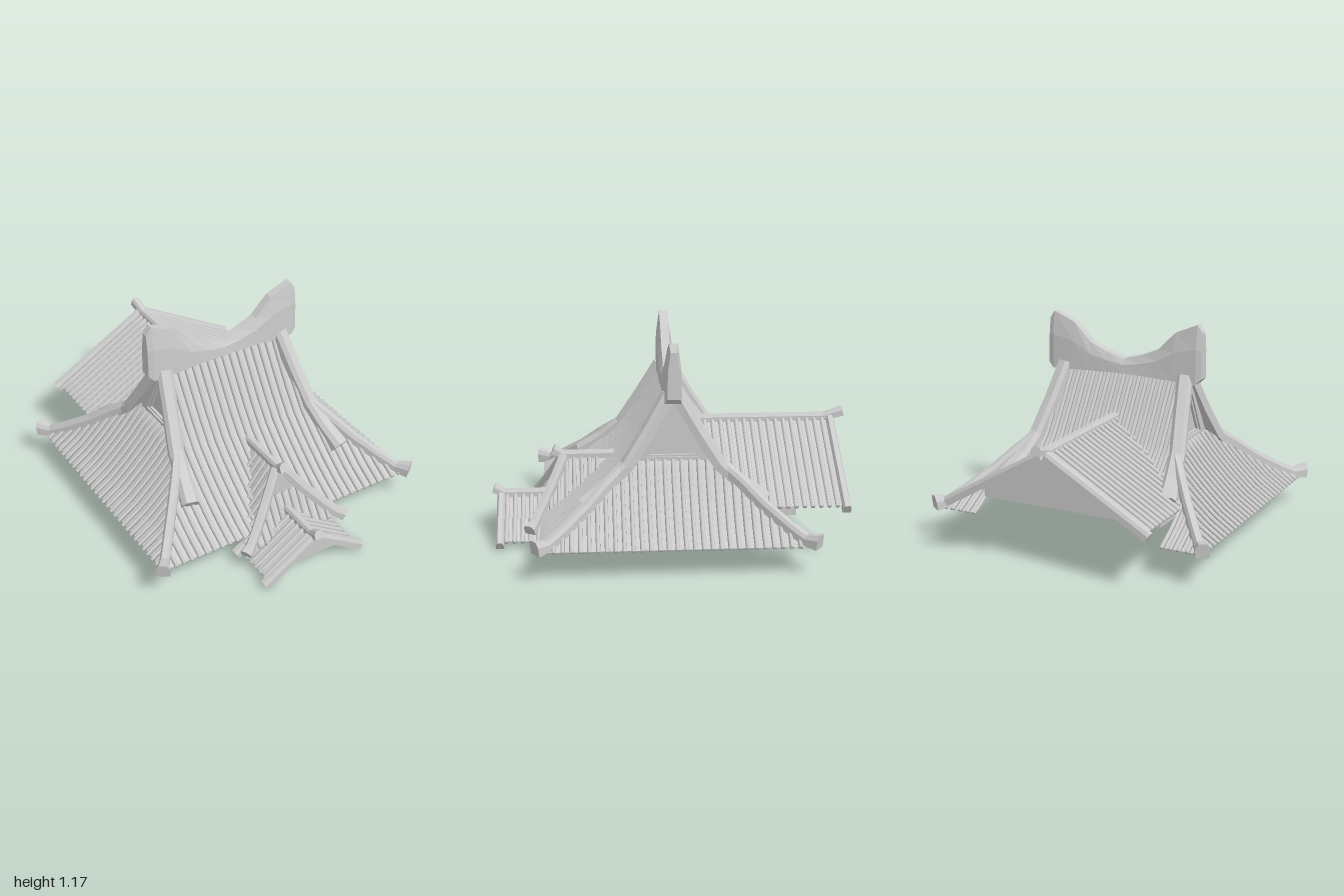
import * as THREE from 'three';
import { mergeGeometries } from 'three/addons/utils/BufferGeometryUtils.js';

const V = (x, y, z) => new THREE.Vector3(x, y, z);
const flat = new THREE.MeshStandardMaterial({ color: 0xcccccc, flatShading: true });
const smooth = new THREE.MeshStandardMaterial({ color: 0xcccccc, side: THREE.DoubleSide });
const SIDES = [-1, 1];

// Closed solid through rings of points (counter-clockwise about the path)
function loft(rings) {
  const n = rings[0].length, last = (rings.length - 1) * n, idx = [];
  for (let i = 0; i < rings.length - 1; i++)
    for (let j = 0; j < n; j++) {
      const a = i * n + j, b = i * n + (j + 1) % n;
      idx.push(a, b, b + n, a, b + n, a + n);
    }
  for (let j = 1; j < n - 1; j++) idx.push(0, j + 1, j, last, last + j, last + j + 1);
  const g = new THREE.BufferGeometry().setFromPoints(rings.flat());
  g.setIndex(idx);
  g.computeVertexNormals();
  return g;
}

// Sweep a section along points, keeping its base level sideways
function sweep(pts, section, w, h, endScale = 1) {
  return loft(pts.map((p, i) => {
    const t = pts[Math.min(i + 1, pts.length - 1)].clone().sub(pts[Math.max(i - 1, 0)]).normalize();
    const s = t.clone().cross(V(0, 1, 0)).normalize(), n = s.clone().cross(t);
    const k = i === pts.length - 1 ? endScale : 1;
    return section.map(([a, b]) => p.clone().addScaledVector(s, a * w * k).addScaledVector(n, b * h * k));
  }));
}
const BEAM = [[-.5, 0], [-.5, .65], [-.28, 1], [.28, 1], [.5, .65], [.5, 0]];
const ROUND = Array.from({ length: 8 }, (_, i) => [Math.cos(-i * Math.PI / 4), Math.sin(-i * Math.PI / 4)]);
const HALF_ROUND = [[-1, 0], [-.9, .8], [-.4, 1.5], [.4, 1.5], [.9, .8], [1, 0]];

function add(parent, name, geo, mat = flat) {
  const m = new THREE.Mesh(geo, mat);
  m.name = name;
  parent.add(m);
  return m;
}
const beam = (parent, name, pts, w, h, end) => add(parent, name, sweep(pts, BEAM, w, h, end));

// Thin surface from f(u, v)
function sheet(parent, name, f, nu = 4, nv = 20) {
  const g = new THREE.PlaneGeometry(1, 1, nu, nv), p = g.attributes.position;
  for (let i = 0; i < p.count; i++) p.setXYZ(i, ...f(p.getX(i) + .5, p.getY(i) + .5).toArray());
  g.computeVertexNormals();
  return add(parent, name, g, smooth);
}

// Tile row following f(t), t from a to b
function tile(f, a, b, section = HALF_ROUND, r = .0115) {
  const pts = [];
  for (let i = 0; i <= 8; i++) pts.push(f(a + (b - a) * i / 8));
  return sweep(pts, section, r, r);
}
const addTiles = (parent, name, list) => add(parent, name, mergeGeometries(list), smooth);

function lerpProfile(pts) {
  return d => {
    let i = 0;
    while (i < pts.length - 2 && d > pts[i + 1][0]) i++;
    const [a, ya] = pts[i], [b, yb] = pts[i + 1];
    return ya + (yb - ya) * (d - a) / (b - a);
  };
}
function poly(pts, holes = []) {
  const s = new THREE.Shape(pts.map(p => new THREE.Vector2(...p)));
  holes.forEach(h => s.holes.push(new THREE.Path(h.map(p => new THREE.Vector2(...p)))));
  return s;
}
const extrude = (shape, depth) => new THREE.ExtrudeGeometry(shape, { depth, bevelEnabled: false });

// ---- Main hip-and-gable roof ----
const mainY = lerpProfile([[0, .87], [.13, .665], [.24, .5], [.34, .405], [.45, .315], [.58, .22], [.7, .155]]);
const halfX = z => z < .25 ? .39 + .12 * z : .42 + (z - .25) * .8;
const toZ = x => .25 + (x - .42) / .8;
const endY = x => Math.min(.515, mainY(toZ(x)));

function mainRoof() {
  const g = new THREE.Group();
  g.name = 'mainRoof';
  const tiles = [], gap = .55;
  for (const s of SIDES) {
    // The rear slope stops short where the rear roof joins
    const zEnd = s > 0 ? .7 : .46;
    sheet(g, 'longSlope', (u, v) => {
      const z = v * zEnd;
      return V((2 * u - 1) * halfX(z), mainY(z), s * z);
    });
    sheet(g, 'rearCorner', (u, v) => {
      const z = toZ(gap) + v * (.7 - toZ(gap));
      return V(s * (gap + u * (halfX(z) - gap)), mainY(z), -z);
    });
    sheet(g, 'endSlope', (u, v) => {
      const x = .38 + v * .4;
      return V(s * x, endY(x), (2 * u - 1) * Math.max(.25, toZ(x)));
    });
    for (let i = -16; i <= 16; i++) {
      const x = i * .047, ax = Math.abs(x);
      tiles.push(tile(z => V(x, mainY(z), s * z), ax < .4 ? 0 : toZ(ax), ax < gap ? zEnd + .008 : .708));
    }
    for (let i = -15; i <= 15; i++) {
      const z = i * .0455;
      tiles.push(tile(x => V(s * x, endY(x), z), Math.max(.39, halfX(Math.abs(z)) - .01), .788));
    }
    // Gable wall with raised bargeboards
    const tri = (w, b, t) => [[-w, b], [w, b], [0, t]];
    const wall = add(g, 'gableWall', extrude(poly(tri(.22, .5, .85)), .02));
    const boards = add(g, 'bargeboards', extrude(poly(tri(.21, .515, .855), [tri(.145, .535, .815)]), .045));
    const trim = add(g, 'gableTrim', extrude(poly(tri(.145, .535, .815), [tri(.125, .545, .79)]), .015));
    for (const [m, x] of [[wall, .35], [boards, .35], [trim, .37]]) {
      m.rotation.y = s * Math.PI / 2;
      m.position.x = s * x;
    }
    // Descending ridges and hip ridges
    for (const q of SIDES) {
      beam(g, 'descendingRidge', [[.365, .86, 0], [.395, .665, .115], [.43, .485, .23], [.455, .385, .345], [.485, .295, .47]]
        .map(([x, y, z]) => V(s * x, y, q * z)), .085, .062, 1.15);
      beam(g, 'hipRidge', [[.42, .485, .24], [.5, .4, .35], [.58, .308, .45], [.685, .212, .58], [.75, .162, .66], [.8, .15, .73]]
        .map(([x, y, z]) => V(s * x, y, q * z)), .052, .055, 1.45);
    }
  }
  addTiles(g, 'mainTiles', tiles);
  add(g, 'ceiling', new THREE.BoxGeometry(1.04, .015, .83)).position.y = .325;
  // Upswept crest: x, bottom, top, half depth
  const half = [[0, .855, .935, .05], [.11, .853, .965, .048], [.21, .85, 1.01, .048], [.31, .845, 1.11, .048],
    [.44, .84, 1.165, .045], [.47, .87, 1.12, .034]];
  const all = [...half.slice(1).reverse().map(([x, ...r]) => [-x, ...r]), ...half];
  add(g, 'crest', loft(all.map(([x, b, t, d]) => {
    const m = b + (t - b) * .6;
    return [V(x, t, -d * .5), V(x, t, d * .5), V(x, m, d * .9), V(x, b, d), V(x, b, -d), V(x, m, -d * .9)];
  })));
  return g;
}

// ---- Plain gabled roof running along z from z0 (inner) to z1 (outer) ----
function gableRoof(name, { ridge, eave, w, z0, z1, tip, rakes, base, baseW, infill, ridgeZ }) {
  const g = new THREE.Group();
  g.name = name;
  const dir = Math.sign(z1 - z0), n = Math.round(Math.abs(z1 - z0) / .045), tiles = [];
  const y = x => ridge + (eave - ridge) * x / w;
  for (const s of SIDES) {
    sheet(g, 'slope', (u, v) => V(s * v * w, y(v * w), z0 + (z1 - z0) * u), 1, 1);
    for (let i = 0; i <= n; i++) {
      const z = z0 + (z1 - z0) * i / n;
      tiles.push(tile(x => V(s * x, y(x) + .004, z), .005, w + .008, ROUND, .0125));
    }
    for (const z of rakes)
      beam(g, 'rake', [V(0, ridge - .028, z), V(s * (w + .017), y(w + .017) - .024, z)], .045, .05);
  }
  addTiles(g, name + 'Tiles', tiles);
  const side = y(baseW) - .012;
  add(g, 'gableInfill', extrude(poly([[-baseW, base], [baseW, base], [baseW, side], [0, ridge - .012], [-baseW, side]]),
    infill[1] - infill[0])).position.z = infill[0];
  beam(g, 'ridge', [V(0, ridge - .015, ridgeZ), V(0, ridge - .015, z1 - dir * .03), V(0, ridge + .012, tip)], .045, .042, 1.2);
  return g;
}

// ---- Small hipped dormer on the front slope ----
function dormer() {
  const g = new THREE.Group();
  g.name = 'frontDormer';
  const yA = lerpProfile([[0, .43], [.1, .3], [.2, .185], [.285, .11]]), tiles = [];
  const hipZ = x => .57 + x * .667, backZ = x => .33 + x * .2;
  const front = z => yA((z - .57) * 1.5);
  for (const s of SIDES) {
    sheet(g, 'slope', (u, v) => {
      const x = v * .28;
      return V(s * x, yA(x), backZ(x) + (hipZ(x) - backZ(x)) * u);
    }, 2, 12);
    for (let i = 0; i < 9; i++) {
      const z = .4 + i * .043;
      tiles.push(tile(x => V(s * x, yA(x), z), Math.max(.005, (z - .57) * 1.5), .285));
    }
    beam(g, 'hipRidge', [[0, .42, .575], [.1, .29, .64], [.2, .175, .705], [.265, .11, .745], [.31, .082, .77]]
      .map(([x, y, z]) => V(s * x, y, z)), .05, .05, 1.25);
  }
  sheet(g, 'frontSlope', (u, v) => {
    const z = .635 + v * .125;
    return V((2 * u - 1) * (z - .57) * 1.5, front(z), z);
  }, 2, 8);
  for (let i = -5; i <= 5; i++) {
    const x = i * .045;
    tiles.push(tile(z => V(x, front(z), z), Math.max(.635, hipZ(Math.abs(x))), .766));
  }
  addTiles(g, 'dormerTiles', tiles);
  add(g, 'gableWall', extrude(poly([[-.13, .26], [.13, .26], [0, .425]]), .025)).position.z = .59;
  add(g, 'soffit', new THREE.BoxGeometry(.44, .015, .32)).position.set(0, .14, .55);
  beam(g, 'ridge', [V(0, .42, .28), V(0, .42, .59), V(0, .45, .655)], .045, .042, 1.2);
  return g;
}

export function createModel() {
  const model = new THREE.Group();
  model.name = 'tiledRoof';
  model.add(
    mainRoof(),
    dormer(),
    gableRoof('porchRoof', { ridge: .215, eave: .03, w: .28, z0: .64, z1: .95, tip: .99, rakes: [.655, .94],
      base: .055, baseW: .21, infill: [.64, .915], ridgeZ: .58 }),
    gableRoof('rearRoof', { ridge: .63, eave: .3, w: .565, z0: -.16, z1: -.91, tip: -.99, rakes: [-.912],
      base: .24, baseW: .53, infill: [-.65, -.41], ridgeZ: -.14 }),
  );
  return model;
}
